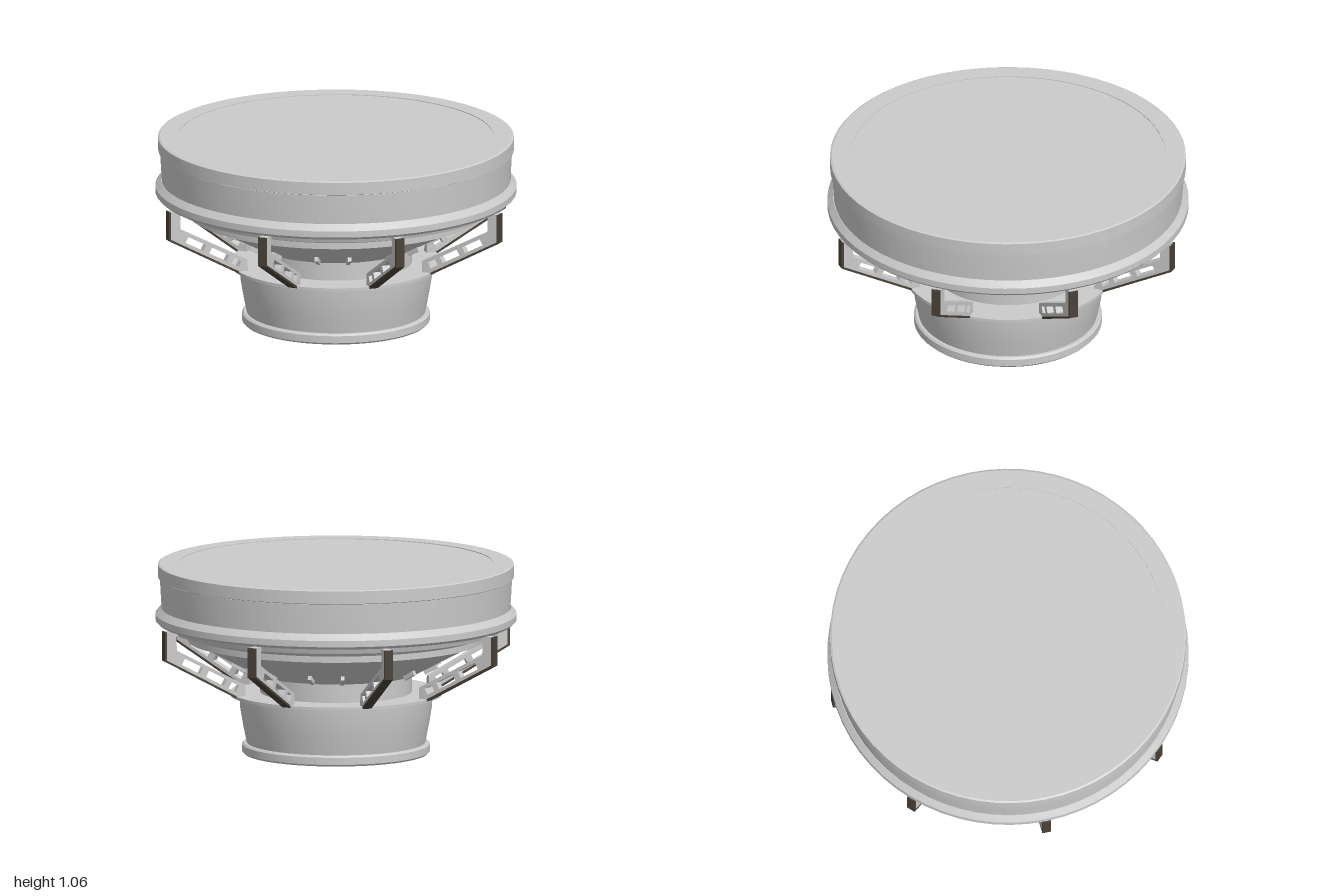
import * as THREE from 'three';
import { toCreasedNormals } from 'three/addons/utils/BufferGeometryUtils.js';

const SEGMENTS = 64;
const grey = new THREE.MeshStandardMaterial({ color: 0xcccccc, side: THREE.DoubleSide });
const dark = new THREE.MeshStandardMaterial({ color: 0x4a4238 });

const v2 = (points) => points.map(([x, y]) => new THREE.Vector2(x, y));

// Revolved part from [radius, height] pairs, listed from bottom to top
function turned(name, points) {
  const geometry = toCreasedNormals(new THREE.LatheGeometry(v2(points), SEGMENTS), 0.4);
  const mesh = new THREE.Mesh(geometry, grey);
  mesh.name = name;
  return mesh;
}

// Flat round plate centred on the axis
function disc(name, radius, height, y) {
  const mesh = new THREE.Mesh(new THREE.CylinderGeometry(radius, radius, height, SEGMENTS), grey);
  mesh.name = name;
  mesh.position.y = y;
  return mesh;
}

// Plate cut in the radius/height plane, centred on its thickness
function plate(outline, holes, thickness) {
  const shape = new THREE.Shape(v2(outline));
  holes.forEach((hole) => shape.holes.push(new THREE.Path(v2(hole))));
  const geometry = new THREE.ExtrudeGeometry(shape, { depth: thickness, bevelEnabled: false });
  return geometry.translate(0, 0, -thickness / 2);
}

export function createModel() {
  const model = new THREE.Group();
  model.name = 'roundPedestal';

  // Foot, tapered stem and the thin flange that carries the braces
  model.add(turned('foot', [
    [0.16, 0.01], [0.16, 0], [0.51, 0], [0.52, 0.01], [0.52, 0.05], [0.51, 0.06], [0.49, 0.06],
  ]));
  model.add(disc('basePlug', 0.16, 0.01, 0.008));
  model.add(turned('stem', [[0.495, 0.06], [0.515, 0.16], [0.53, 0.25], [0.535, 0.325]]));
  model.add(turned('flange', [[0.535, 0.325], [0.585, 0.325], [0.585, 0.342], [0.42, 0.342]]));

  // Collar, wide flared bowl and stepped underside
  model.add(turned('collar', [[0.42, 0.34], [0.42, 0.45], [0.45, 0.45]]));
  model.add(turned('bowl', [[0.45, 0.45], [0.6, 0.53], [0.78, 0.625]]));
  model.add(turned('underside', [
    [0.78, 0.625], [0.82, 0.63], [0.82, 0.665], [0.84, 0.69], [0.92, 0.695], [0.93, 0.725],
  ]));

  // Drum: wide belt, slightly sloping wall and raised rim around a flat top
  model.add(turned('belt', [[0.93, 0.725], [0.985, 0.73], [1, 0.745], [1, 0.78], [0.97, 0.815]]));
  model.add(turned('drumWall', [[0.965, 0.81], [0.97, 0.89], [0.975, 0.98]]));
  model.add(turned('rim', [
    [0.97, 0.98], [0.985, 0.985], [0.985, 1.055], [0.975, 1.06], [0.872, 1.06], [0.872, 1.045],
  ]));
  model.add(disc('topDisc', 0.872, 0.02, 1.046));

  // Brace frame: outer post and a slotted sloping arm
  const along = (t, h) => [0.57 + 0.425 * t - 0.47 * h, 0.335 + 0.225 * t + 0.88 * h];
  const slot = (a, b) => [along(a, 0.022), along(b, 0.022), along(b, 0.06), along(a, 0.06)];
  const frameGeometry = plate(
    [
      [0.84, 0.72], [0.99, 0.72], [0.99, 0.56], [0.57, 0.335], [0.53, 0.335],
      along(0, 0.08), along(0.93, 0.08), [0.93, 0.695], [0.84, 0.695],
    ],
    [slot(0.06, 0.16), slot(0.23, 0.47), slot(0.55, 0.8)],
    0.045,
  );
  // Dark strip along the outer edge of the brace
  const stripGeometry = plate(
    [[0.985, 0.72], [0.998, 0.72], [0.998, 0.556], [0.575, 0.326], [0.57, 0.337], [0.985, 0.562]],
    [],
    0.05,
  );
  const pegGeometry = new THREE.BoxGeometry(0.08, 0.035, 0.02);

  for (let i = 0; i < 8; i++) {
    const brace = new THREE.Group();
    brace.name = 'brace' + (i + 1);
    brace.rotation.y = (i * Math.PI) / 4;
    const frame = new THREE.Mesh(frameGeometry, grey);
    frame.name = 'braceFrame';
    const strip = new THREE.Mesh(stripGeometry, dark);
    strip.name = 'braceEdge';
    brace.add(frame, strip);
    model.add(brace);

    // Two short pegs on the bowl in each gap between braces
    for (const offset of [-0.16, 0.16]) {
      const pegArm = new THREE.Group();
      pegArm.name = 'bowlPeg';
      pegArm.rotation.y = ((i + 0.5) * Math.PI) / 4 + offset;
      const peg = new THREE.Mesh(pegGeometry, grey);
      peg.name = 'peg';
      peg.position.set(0.54, 0.49, 0);
      peg.rotation.z = 0.49;
      pegArm.add(peg);
      model.add(pegArm);
    }
  }
  return model;
}
